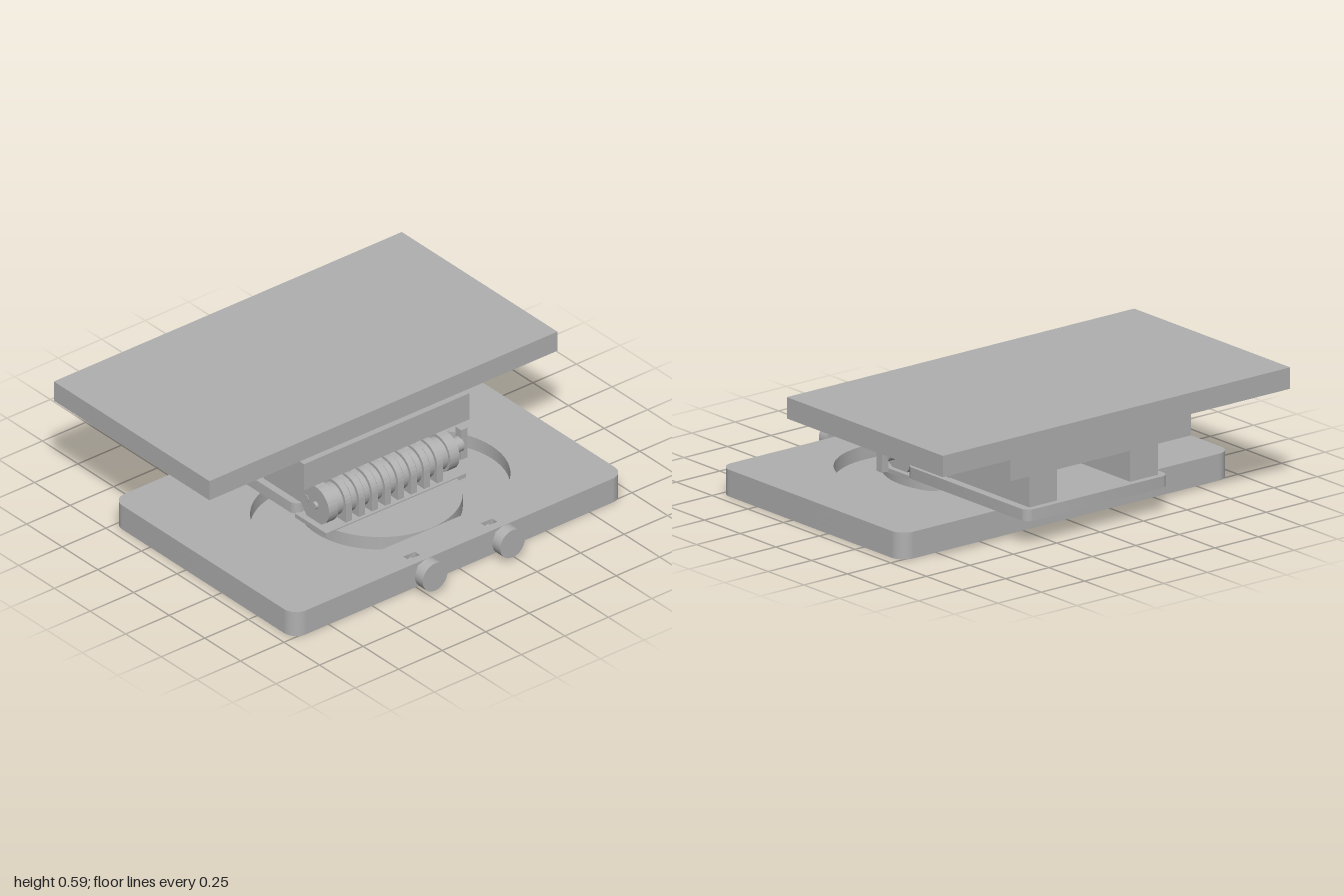
import * as THREE from 'three';
import { toCreasedNormals } from 'three/addons/utils/BufferGeometryUtils.js';

const grey = new THREE.MeshStandardMaterial({ color: 0xb0b0b0 });
grey.name = 'plain grey';

// Axis of the hinge barrel and centre line of the sliding pocket
const AXIS = { y: 0.217, z: 0.212 };
const POCKET = { z: 0.205, half: 0.27, r: 0.37 };

export function createModel() {
  const model = new THREE.Group();
  model.name = 'tiltingMount';

  const add = (name, geometry, x = 0, y = 0, z = 0) => {
    const mesh = new THREE.Mesh(geometry, grey);
    mesh.name = name;
    mesh.position.set(x, y, z);
    model.add(mesh);
    return mesh;
  };
  // Box given by its limits
  const box = (name, x0, x1, y0, y1, z0, z1) =>
    add(name, new THREE.BoxGeometry(x1 - x0, y1 - y0, z1 - z0), (x0 + x1) / 2, (y0 + y1) / 2, (z0 + z1) / 2);
  const extrude = (shape, depth) =>
    new THREE.ExtrudeGeometry(shape, { depth, bevelEnabled: false, curveSegments: 20 });
  // Horizontal slab from a plan drawn in (x, -z)
  const slab = (name, shape, y0, y1) =>
    add(name, toCreasedNormals(extrude(shape, y1 - y0).rotateX(-Math.PI / 2), 0.5), 0, y0, 0);
  // Upright plate from a profile drawn in (z, y), spanning x0 to x1
  const upright = (name, shape, x0, x1) =>
    add(name, toCreasedNormals(extrude(shape, x1 - x0).rotateY(-Math.PI / 2), 0.5), x1, 0, 0);
  // Cylinders along x and z
  const rodX = (name, r, x0, x1, y, z) =>
    add(name, new THREE.CylinderGeometry(r, r, x1 - x0, 32).rotateZ(Math.PI / 2), (x0 + x1) / 2, y, z);
  const rodZ = (name, r, z0, z1, x, y) =>
    add(name, new THREE.CylinderGeometry(r, r, z1 - z0, 32).rotateX(Math.PI / 2), x, y, (z0 + z1) / 2);

  // Plan outlines
  const roundRect = (Type, cx, cz, w, d, r) => {
    const p = new Type(), x = w / 2, y = d / 2, Y = -cz;
    p.absarc(cx + x - r, Y + y - r, r, 0, Math.PI / 2);
    p.absarc(cx - x + r, Y + y - r, r, Math.PI / 2, Math.PI);
    p.absarc(cx - x + r, Y - y + r, r, Math.PI, Math.PI * 1.5);
    p.absarc(cx + x - r, Y - y + r, r, Math.PI * 1.5, Math.PI * 2);
    p.closePath();
    return p;
  };
  const stadium = (Type, half, r) => {
    const p = new Type();
    p.absarc(half, -POCKET.z, r, -Math.PI / 2, Math.PI / 2);
    p.absarc(-half, -POCKET.z, r, Math.PI / 2, Math.PI * 1.5);
    p.closePath();
    return p;
  };

  // Underside cells: shallow below the pocket floor, deep elsewhere
  const shallow = [], deep = [];
  const pitch = 0.16, cell = 0.122;
  for (let row = -3; row <= 3; row++) {
    for (let col = -5; col <= 5; col++) {
      if (row === 3 && Math.abs(col) <= 3) continue;
      if (row === 2 && Math.abs(col) <= 2) continue;
      if (Math.abs(row) === 3 && Math.abs(col) === 5) continue;
      const x = col * pitch, z = 0.1225 + row * pitch;
      const dx = Math.max(0, Math.abs(x) - cell / 2 - POCKET.half);
      const dz = Math.max(0, Math.abs(z - POCKET.z) - cell / 2);
      (Math.hypot(dx, dz) > POCKET.r + 0.01 ? deep : shallow).push([x, z]);
    }
  }
  const cells = list => list.map(([x, z]) => roundRect(THREE.Path, x, z, cell, cell, 0.015));
  const nuts = () => [-0.225, 0.22].map(x => roundRect(THREE.Path, x, 0.7, 0.065, 0.036, 0.003));
  const pocket = () => stadium(THREE.Path, POCKET.half, POCKET.r);
  const slot = () => stadium(THREE.Path, 0.27, 0.015);
  const baseLayer = (name, y0, y1, holes) => {
    const s = roundRect(THREE.Shape, 0, 0.1225, 1.9, 1.275, 0.07);
    s.holes.push(...holes);
    slab(name, s, y0, y1);
  };
  baseLayer('baseGrid', 0, 0.03, [...cells(shallow), ...cells(deep), slot()]);
  baseLayer('baseFloor', 0.03, 0.06, [...cells(deep), slot()]);
  baseLayer('baseWalls', 0.06, 0.1, [...cells(deep), pocket(), ...nuts()]);
  baseLayer('baseTop', 0.1, 0.125, [pocket(), ...nuts()]);
  const rim = stadium(THREE.Shape, 0.27, 0.036);
  rim.holes.push(slot());
  slab('slotRim', rim, 0, 0.03);

  // Clamp screws at the front
  for (const x of [-0.225, 0.22]) {
    rodZ('clampKnob', 0.071, 0.81, 0.865, x, 0.093);
    rodZ('clampScrew', 0.019, 0.69, 0.81, x, 0.093);
  }

  // Turntable and the carrier plate on it
  add('turntable', new THREE.CylinderGeometry(0.367, 0.367, 0.065, 64), 0, 0.0925, POCKET.z);
  box('carrierStep', -0.405, 0.4, 0.11, 0.131, 0.1, 0.32);
  const carrier = roundRect(THREE.Shape, 0, -0.3125, 0.82, 0.845, 0.04);
  for (const x of [-0.25, 0.25]) carrier.holes.push(roundRect(THREE.Path, x, -0.66, 0.036, 0.036, 0.0179));
  slab('carrierPlate', carrier, 0.126, 0.18);

  // Hinge arm: round nose with a rising top edge
  const arm = (r, bottom) => {
    const s = new THREE.Shape();
    s.moveTo(-0.155, 0.345);
    s.lineTo(-0.155, bottom);
    s.lineTo(0.11, bottom);
    s.lineTo(0.15, AXIS.y - r);
    s.absarc(AXIS.z, AXIS.y, r, -Math.PI / 2, Math.PI / 2);
    s.lineTo(-0.08, 0.345);
    s.closePath();
    return s;
  };
  // Fixed knuckle: round top on a straight leg
  const leg = new THREE.Shape();
  leg.moveTo(0.12, 0.126);
  leg.lineTo(0.305, 0.126);
  leg.lineTo(0.305, AXIS.y);
  leg.absarc(AXIS.z, AXIS.y, 0.093, 0, Math.PI);
  leg.closePath();

  upright('hingeCheek', arm(0.092, 0.18), -0.375, -0.322);
  upright('hingeCheek', arm(0.092, 0.18), 0.322, 0.375);
  for (let i = 0; i < 8; i++) {
    const x = (i - 3.5) * 0.075;
    upright('fixedKnuckle', leg, x - 0.017, x + 0.017);
    if (i < 7) upright('movingKnuckle', arm(0.086, 0.18), x + 0.023, x + 0.052);
  }
  rodX('hingeBarrel', 0.078, -0.33, 0.33, AXIS.y, AXIS.z);

  // Hinge bolt with its bar handle and the stop pin
  rodX('hingeBolt', 0.036, 0.37, 0.45, AXIS.y, AXIS.z);
  rodX('boltEnd', 0.018, -0.39, -0.37, AXIS.y, AXIS.z);
  box('boltHandle', 0.445, 0.482, 0.14, 0.295, 0.19, 0.23);
  rodX('stopPin', 0.017, -0.378, 0.378, AXIS.y + 0.003, 0.145);

  // Posts, head block and table plate
  box('post', -0.37, -0.21, 0.18, 0.347, -0.705, -0.155);
  box('post', 0.21, 0.37, 0.18, 0.347, -0.705, -0.155);
  box('headBlock', -0.52, 0.52, 0.346, 0.492, -0.755, -0.142);
  box('headFront', -0.475, 0.475, 0.35, 0.486, -0.142, 0.25);
  box('tablePlate', -1, 1, 0.492, 0.592, -0.865, 0.227);

  return model;
}
